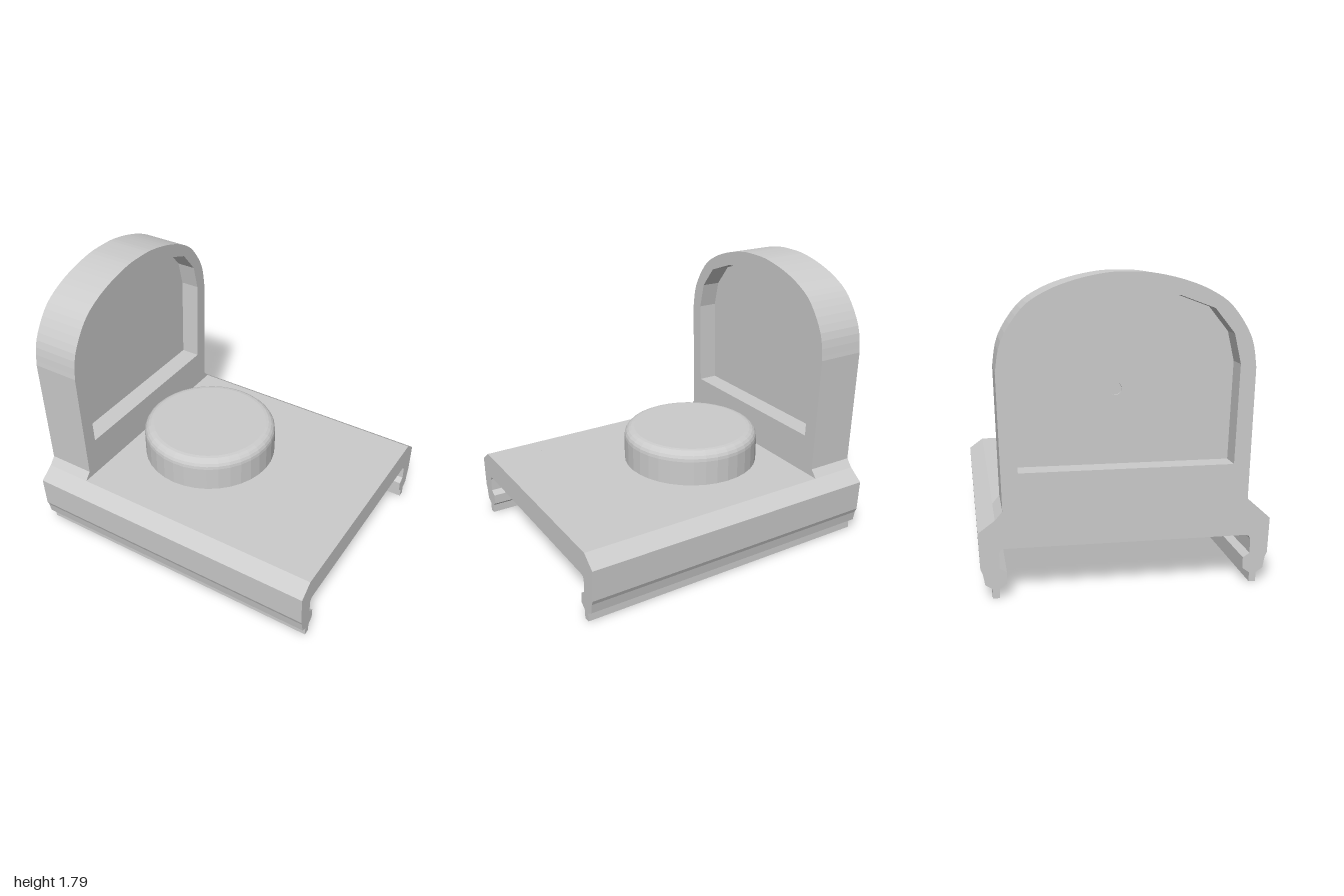
import * as THREE from 'three';

const material = new THREE.MeshStandardMaterial({ color: 0xcccccc, flatShading: true });

function addMesh(parent, name, geometry) {
  const mesh = new THREE.Mesh(geometry, material);
  mesh.name = name;
  parent.add(mesh);
  return mesh;
}

const toVectors = (points) => points.map(([a, b]) => new THREE.Vector2(a, b));

// Completes a half outline (positive side, bottom to top) with its mirror image
function mirrored(half) {
  const other = half.filter((p) => p.x > 0.001).map((p) => new THREE.Vector2(-p.x, p.y)).reverse();
  return [...half, ...other];
}

function extrude(shape, depth) {
  return new THREE.ExtrudeGeometry(shape, { depth, bevelEnabled: false, curveSegments: 36 });
}

// Extrudes a (-z, y) outline along x, between x0 and x1
function extrudeX(shape, x0, x1) {
  return extrude(shape, x1 - x0).rotateY(Math.PI / 2).translate(x0, 0, 0);
}

export function createModel() {
  const model = new THREE.Group();
  model.name = 'slidingMount';

  // Clip rails along both long edges, with a sloped inner shoulder
  const rail = [
    [0.59, 0.45], [0.59, 0.375], [0.69, 0.285], [0.71, 0.28], [0.72, 0.26], [0.72, 0.175], [0.68, 0.15],
    [0.68, 0.085], [0.72, 0.055], [0.72, 0], [0.76, 0], [0.76, 0.055], [0.80, 0.08],
    [0.812, 0.145], [0.825, 0.175], [0.835, 0.38], [0.74, 0.45],
  ];
  for (const side of [1, -1]) {
    const shape = new THREE.Shape(toVectors(rail.map(([z, y]) => [z * side, y])));
    addMesh(model, side > 0 ? 'backRail' : 'frontRail', extrudeX(shape, -1, 1));
  }

  // Top plate, open below the round button
  const buttonX = -0.184, buttonZ = -0.01, cavityRadius = 0.443;
  const plate = new THREE.Shape(toVectors([[-1, -0.59], [1, -0.59], [1, 0.59], [-1, 0.59]]));
  plate.holes.push(new THREE.Path().absarc(buttonX, -buttonZ, cavityRadius, 0, Math.PI * 2, true));
  addMesh(model, 'topPlate', extrude(plate, 0.075).rotateX(-Math.PI / 2).translate(0, 0.375, 0));

  // Sloped lips closing the shallow hollow, steeper below the upright
  for (const [name, side, inner, foot] of [['leftLip', 1, 0.87, 0.995], ['rightLip', -1, 0.915, 0.97]]) {
    const lip = new THREE.Shape(toVectors([
      [side, 0.285], [side, 0.375], [inner * side, 0.375], [foot * side, 0.285],
    ]));
    addMesh(model, name, extrude(lip, 1.38).translate(0, 0, -0.69));
  }

  // Round button with a rounded rim and a shallow cavity beneath
  const radius = 0.45, top = 0.68, fillet = 0.065;
  const profile = [[0, 0.475], [cavityRadius, 0.475], [cavityRadius, 0.375], [radius, 0.375]];
  for (let i = 0; i <= 5; i++) {
    const a = (i / 5) * Math.PI / 2;
    profile.push([radius - fillet + fillet * Math.cos(a), top - fillet + fillet * Math.sin(a)]);
  }
  profile.push([0, top]);
  const button = addMesh(model, 'roundButton', new THREE.LatheGeometry(toVectors(profile), 36));
  button.position.set(buttonX, 0, buttonZ);

  // Arched upright: a frame around a thin recessed web
  const upright = new THREE.Group();
  upright.name = 'archedUpright';
  model.add(upright);

  const curve = new THREE.SplineCurve(toVectors([
    [0.722, 1.26], [0.69, 1.43], [0.58, 1.6], [0.45, 1.69], [0.29, 1.75], [0.12, 1.785], [0, 1.79],
  ]));
  const outer = mirrored([...toVectors([[0.74, 0.45], [0.698, 0.50]]), ...curve.getPoints(24)]);
  const recess = mirrored(toVectors([
    [0.61, 0.71], [0.632, 1.28], [0.593, 1.45], [0.48, 1.59], [0.285, 1.662], [0.1, 1.685],
  ]));

  const frame = new THREE.Shape(outer);
  frame.holes.push(new THREE.Path(recess));
  addMesh(upright, 'archFrame', extrudeX(frame, -1, -0.687));
  addMesh(upright, 'archWeb', extrudeX(new THREE.Shape(recess), -0.863, -0.818));

  // Outer layer of the web, with a small blind hole
  const layer = new THREE.Shape(recess);
  layer.holes.push(new THREE.Path().absarc(0.05, 1.14, 0.036, 0, Math.PI * 2, true));
  addMesh(upright, 'archWebOuterLayer', extrudeX(layer, -0.875, -0.863));

  return model;
}
